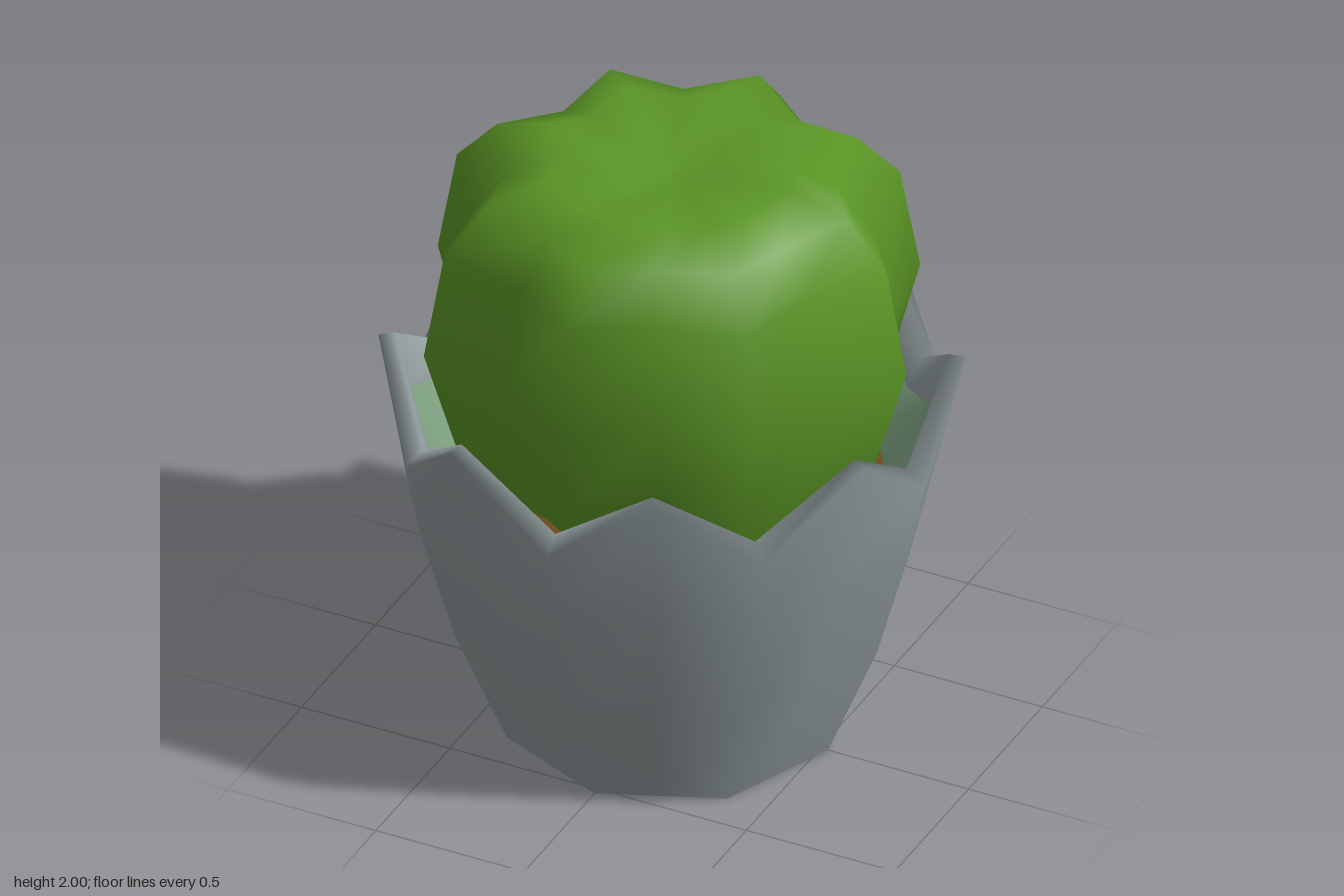
import * as THREE from 'three';

const COLUMNS = 16; // even columns are pot notches and plant ribs, odd ones rim points and grooves

// Closed loops of points joined into a smooth surface, one [y, radius] per column
function loopSurface(rows) {
  const positions = [], indices = [];
  rows.forEach((row, j) => {
    for (let k = 0; k < COLUMNS; k++) {
      const angle = (k / COLUMNS) * Math.PI * 2;
      const [y, r] = row(k);
      positions.push(Math.sin(angle) * r, y, Math.cos(angle) * r);
      if (j === rows.length - 1) continue;
      const a = j * COLUMNS + k, b = j * COLUMNS + ((k + 1) % COLUMNS);
      indices.push(a, b, b + COLUMNS, a, b + COLUMNS, a + COLUMNS);
    }
  });
  const geometry = new THREE.BufferGeometry();
  geometry.setAttribute('position', new THREE.Float32BufferAttribute(positions, 3));
  geometry.setIndex(indices);
  geometry.computeVertexNormals();
  return geometry;
}

// Row that alternates between even and odd columns
const alternate = (yEven, rEven, yOdd, rOdd) => (k) => (k % 2 ? [yOdd, rOdd] : [yEven, rEven]);

export function createModel() {
  const stone = new THREE.MeshStandardMaterial({ color: 0x8f9a9b });
  const leafGreen = new THREE.MeshStandardMaterial({ color: 0x5a9425 });
  const mossGreen = new THREE.MeshStandardMaterial({ color: 0x7a9c7c });
  const soilBrown = new THREE.MeshStandardMaterial({ color: 0x6b4a20 });

  const model = new THREE.Group();
  const add = (name, geometry, material) => {
    const mesh = new THREE.Mesh(geometry, material);
    mesh.name = name;
    model.add(mesh);
    return mesh;
  };

  // Eight-sided pot with a zigzag rim and an inner lip
  const flat = Math.cos(Math.PI / 8);
  add('pot', loopSurface([
    alternate(0, 0.525, 0, 0.525 * flat),
    alternate(0.4, 0.69, 0.4, 0.69 * flat),
    alternate(0.79, 0.8, 0.79, 0.8 * flat),
    alternate(1.05, 0.85, 1.31, 0.888),
    alternate(1.1, 0.79, 1.32, 0.84),
    alternate(1.0, 0.75, 1.12, 0.79),
  ]), stone);

  // Flat underside
  const base = add('potBase', new THREE.CircleGeometry(0.525, 8), stone);
  base.rotation.x = Math.PI / 2;

  // Moss inside the rim, drawn back in two gaps where soil shows
  add('moss', loopSurface([
    alternate(1.0, 0.75, 1.12, 0.79),
    (k) => [0.91, k === 9 || k === 15 ? 0.73 : 0.64],
  ]), mossGreen);

  const soil = add('soil', new THREE.CircleGeometry(0.74, 16), soilBrown);
  soil.rotation.x = -Math.PI / 2;
  soil.position.y = 0.9;

  // Ribbed round plant with a dimpled crown
  add('plant', loopSurface([
    alternate(0.9, 0.58, 0.9, 0.5),
    alternate(1.1, 0.69, 1.1, 0.57),
    alternate(1.44, 0.79, 1.44, 0.645),
    alternate(1.79, 0.725, 1.77, 0.6),
    alternate(1.94, 0.59, 1.91, 0.5),
    alternate(2.0, 0.4, 1.97, 0.36),
    alternate(1.95, 0.18, 1.95, 0.18),
    alternate(1.93, 0.001, 1.93, 0.001),
  ]), leafGreen);

  return model;
}
